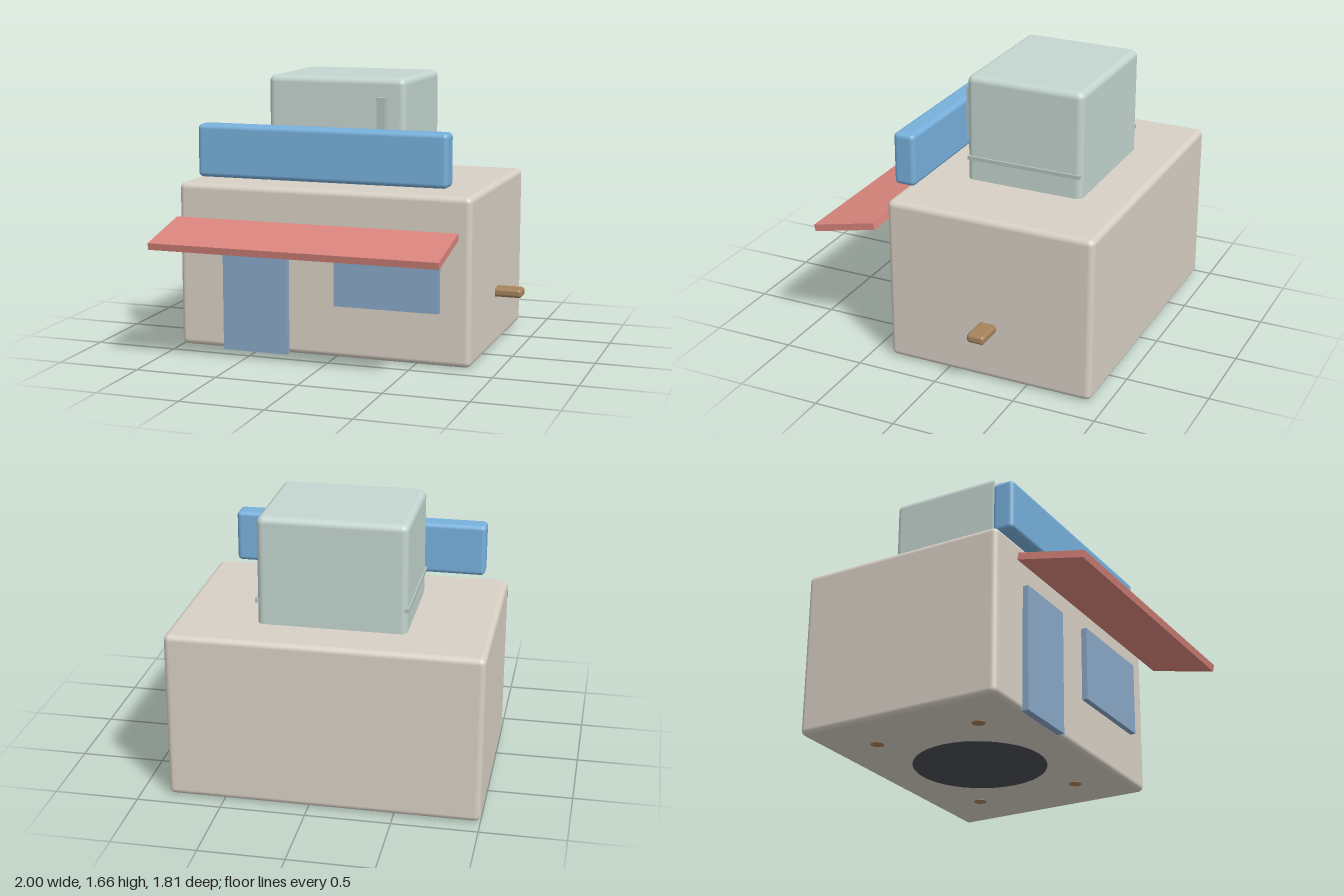
import * as THREE from 'three';
import { RoundedBoxGeometry } from 'three/addons/geometries/RoundedBoxGeometry.js';

const paint = (color) => new THREE.MeshStandardMaterial({ color });

export function createModel() {
  const model = new THREE.Group();
  const wall = paint(0xd8d0c5), tower = paint(0xc4d5d0), trim = paint(0xafc2bd);
  const blue = paint(0x77b0dc), red = paint(0xd9857c), glass = paint(0x89a8c6);
  const wood = paint(0xa5825c), dark = paint(0x4a4e56);

  const add = (name, geometry, material, x, y, z) => {
    const mesh = new THREE.Mesh(geometry, material);
    mesh.name = name;
    mesh.position.set(x, y, z);
    model.add(mesh);
    return mesh;
  };

  // Box given by its extents on each axis; radius > 0 rounds the edges
  const block = (name, material, [x0, x1], [y0, y1], [z0, z1], radius = 0) => {
    const size = [x1 - x0, y1 - y0, z1 - z0];
    const geometry = radius
      ? new RoundedBoxGeometry(...size, 4, radius)
      : new THREE.BoxGeometry(...size);
    return add(name, geometry, material, (x0 + x1) / 2, (y0 + y1) / 2, (z0 + z1) / 2);
  };

  // Main building and the smaller upper storey
  block('building', wall, [-1, 0.835], [0.003, 1.012], [-0.905, 0.38], 0.035);
  block('upperStorey', tower, [-0.52, 0.35], [0.9, 1.657], [-0.627, 0.103], 0.04);
  block('upperStoreyBand', trim, [-0.53, 0.363], [1.14, 1.163], [-0.62, 0.094]);
  block('upperStoreyFin', trim, [0.19, 0.236], [1.222, 1.545], [0.08, 0.16]);

  // Shop front
  block('signBoard', blue, [-0.862, 0.695], [1.058, 1.377], [0.27, 0.403], 0.028);
  block('door', glass, [-0.703, -0.288], [0.003, 0.76], [0.37, 0.415]);
  block('window', glass, [0.008, 0.652], [0.325, 0.785], [0.37, 0.415]);

  // Sloping awning
  const awning = add('awning', new THREE.BoxGeometry(1.75, 0.042, 0.416), red, -0.085, 0.76, 0.698);
  awning.rotation.x = 0.219;

  // Side peg
  block('sidePeg', wood, [0.78, 1], [0.308, 0.363], [-0.316, -0.206], 0.02);

  // Underside: central base plate and four foot ends
  add('basePlate', new THREE.CylinderGeometry(0.4, 0.4, 0.01, 40), dark, -0.085, 0.005, -0.26);
  for (const x of [-0.67, 0.48]) {
    for (const z of [-0.595, 0.08]) {
      add('footEnd', new THREE.CylinderGeometry(0.04, 0.04, 0.01, 16), wood, x, 0.005, z);
    }
  }

  return model;
}
